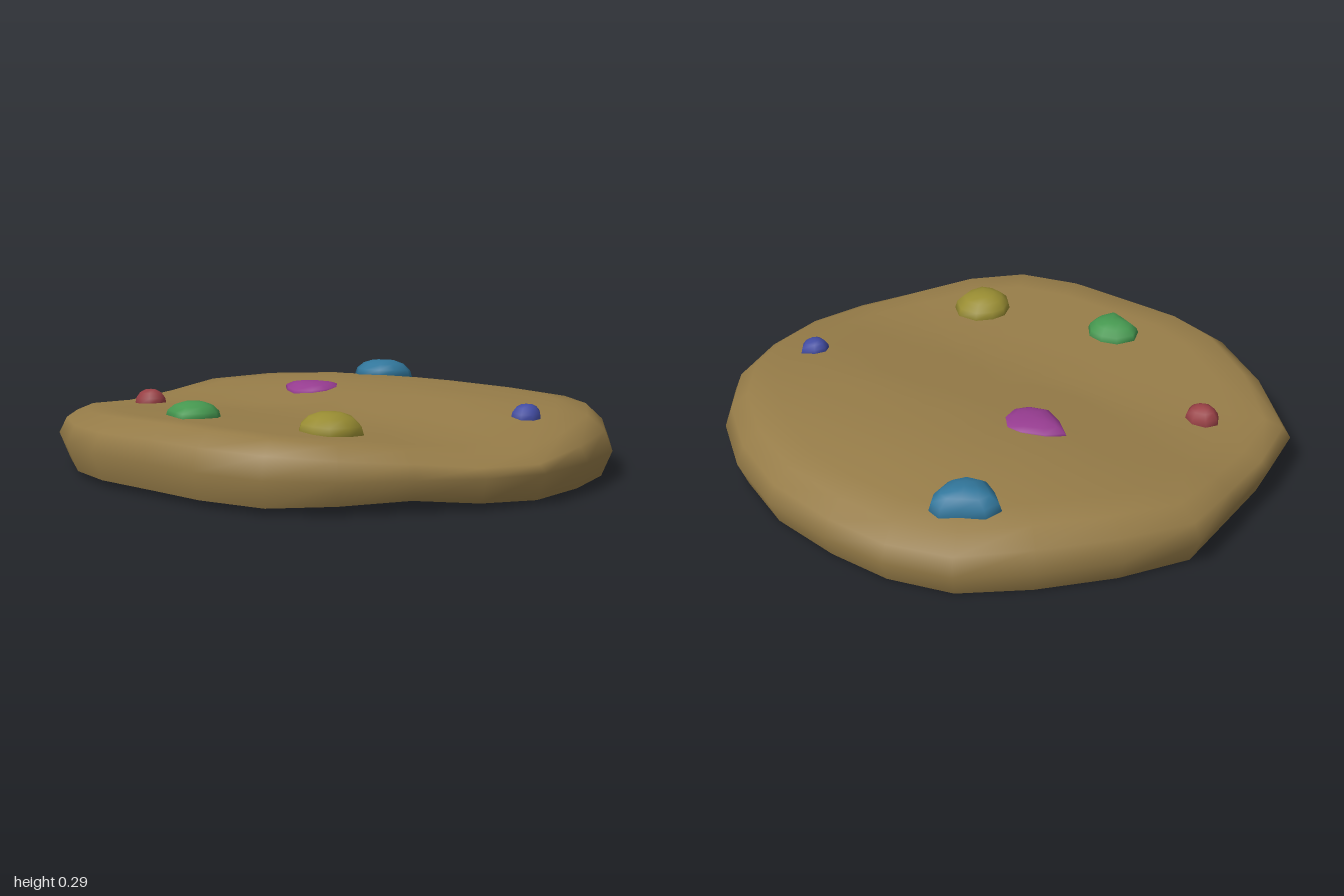
import * as THREE from 'three';

// Piecewise-linear lookup over [key, value] pairs with ascending keys
function lookup(table, t) {
  for (let i = 1; i < table.length; i++) {
    const [a, va] = table[i - 1], [b, vb] = table[i];
    if (t <= b) return THREE.MathUtils.lerp(va, vb, THREE.MathUtils.clamp((t - a) / (b - a), 0, 1));
  }
  return table[table.length - 1][1];
}

// Height of the wavy top: ridge at the back, dip ahead of centre, raised front rim
const ridge = [[-0.92, 0.18], [-0.8, 0.212], [-0.65, 0.242], [-0.5, 0.258], [-0.25, 0.26], [0, 0.232],
  [0.2, 0.21], [0.4, 0.218], [0.6, 0.232], [0.84, 0.243], [0.92, 0.235]];
const topHeight = (x, z) => lookup(ridge, z) - 0.04 * (x - 0.15) ** 2 - 0.05 * Math.max(0, x) ** 4;
const midHeight = (x, z) => 0.105 + 0.016 * z;
// Underside tilts up toward the front, with a lifted patch at the front left
const baseHeight = (x, z) => 0.014 + 0.012 * z + 0.025 * Math.exp(-((x - 0.78) ** 2 + (z - 0.52) ** 2) / 0.06);

// Skin of stacked rings closed by one apex; each ring is an array of [x, y, z]
function loft(rings, apex) {
  const n = rings[0].length, index = [];
  const positions = [...rings.flat(), apex].flat();
  const tip = rings.length * n;
  for (let r = 0; r < rings.length; r++) {
    for (let i = 0; i < n; i++) {
      const a = r * n + i, b = r * n + (i + 1) % n;
      if (r === rings.length - 1) index.push(a, tip, b);
      else index.push(a, a + n, b, b, a + n, b + n);
    }
  }
  const g = new THREE.BufferGeometry();
  g.setAttribute('position', new THREE.Float32BufferAttribute(positions, 3));
  g.setIndex(index);
  g.computeVertexNormals();
  return g;
}

const cookieOutline = [[0, -0.92], [0.28, -0.89], [0.53, -0.79], [0.74, -0.64], [0.89, -0.44], [0.97, -0.18],
  [1, 0.09], [0.93, 0.3], [0.8, 0.49], [0.66, 0.69], [0.48, 0.84], [0.23, 0.9], [0, 0.905], [-0.27, 0.915],
  [-0.47, 0.87], [-0.72, 0.72], [-0.94, 0.51], [-0.98, 0.28], [-0.99, 0.04], [-1, -0.21], [-0.86, -0.44],
  [-0.67, -0.66], [-0.47, -0.835], [-0.24, -0.91]];

// Candy outlines seen from above, with the height of each top
const candies = [
  ['tealCandy', 0x32779c, 0.295, [[-0.49, -0.6], [-0.47, -0.66], [-0.4, -0.7], [-0.34, -0.74], [-0.29, -0.73],
    [-0.27, -0.69], [-0.27, -0.61], [-0.31, -0.55], [-0.38, -0.53], [-0.44, -0.56]]],
  ['purpleCandy', 0x963c90, 0.265, [[-0.41, -0.12], [-0.36, -0.18], [-0.28, -0.22], [-0.22, -0.225],
    [-0.17, -0.17], [-0.16, -0.1], [-0.19, -0.05], [-0.26, -0.02], [-0.34, -0.06]]],
  ['greenCandy', 0x469850, 0.28, [[-0.22, 0.59], [-0.18, 0.53], [-0.12, 0.51], [-0.06, 0.52], [-0.02, 0.57],
    [-0.02, 0.63], [-0.055, 0.7], [-0.12, 0.68], [-0.2, 0.65]]],
  ['yellowCandy', 0x988c32, 0.285, [[0.3, 0.46], [0.32, 0.41], [0.37, 0.365], [0.45, 0.36], [0.51, 0.41],
    [0.515, 0.48], [0.49, 0.55], [0.43, 0.57], [0.36, 0.56], [0.32, 0.52]]],
  ['redCandy', 0x984045, 0.24, [[-0.745, 0.325], [-0.72, 0.285], [-0.67, 0.27], [-0.63, 0.29], [-0.618, 0.33],
    [-0.64, 0.365], [-0.68, 0.382], [-0.725, 0.365]]],
  ['blueCandy', 0x424ca2, 0.27, [[0.65, -0.19], [0.67, -0.23], [0.72, -0.25], [0.752, -0.21], [0.75, -0.17],
    [0.72, -0.14], [0.67, -0.15]]],
];

function addMesh(group, name, geometry, color) {
  const mesh = new THREE.Mesh(geometry, new THREE.MeshStandardMaterial({ color }));
  mesh.name = name;
  group.add(mesh);
}

export function createModel() {
  const group = new THREE.Group();
  group.name = 'candyCookie';
  const brown = 0x967c48;

  // Rounded side and wavy top
  const ring = (s, height) => cookieOutline.map(([x, z]) => [x * s, height(x * s, z * s), z * s]);
  const shoulder = (x, z) => THREE.MathUtils.lerp(midHeight(x, z), topHeight(x, z), 0.62);
  const rings = [ring(0.963, baseHeight), ring(1, midHeight), ring(0.972, shoulder)];
  for (const s of [0.91, 0.8, 0.68, 0.55, 0.42, 0.28, 0.14]) rings.push(ring(s, topHeight));
  addMesh(group, 'cookieTop', loft(rings, [0, topHeight(0, 0), 0]), brown);

  // Flat underside, wound the other way so it faces down
  const under = loft([ring(0.963, baseHeight).reverse()], [0, 0.012, 0]);
  addMesh(group, 'cookieUnderside', under, brown);

  // Candies: squashed domes sunk into the top
  for (const [name, color, top, outline] of candies) {
    const cx = outline.reduce((sum, p) => sum + p[0], 0) / outline.length;
    const cz = outline.reduce((sum, p) => sum + p[1], 0) / outline.length;
    const domeRing = ([s, t]) => outline.map(([x, z]) => {
      const px = cx + (x - cx) * s, pz = cz + (z - cz) * s;
      const foot = topHeight(x, z) - 0.015;
      return [px, THREE.MathUtils.lerp(foot, top, t), pz];
    });
    const profile = [[0.85, -0.3], [1, 0.15], [0.92, 0.5], [0.68, 0.8], [0.36, 0.96]];
    addMesh(group, name, loft(profile.map(domeRing), [cx, top, cz]), color);
  }
  return group;
}
